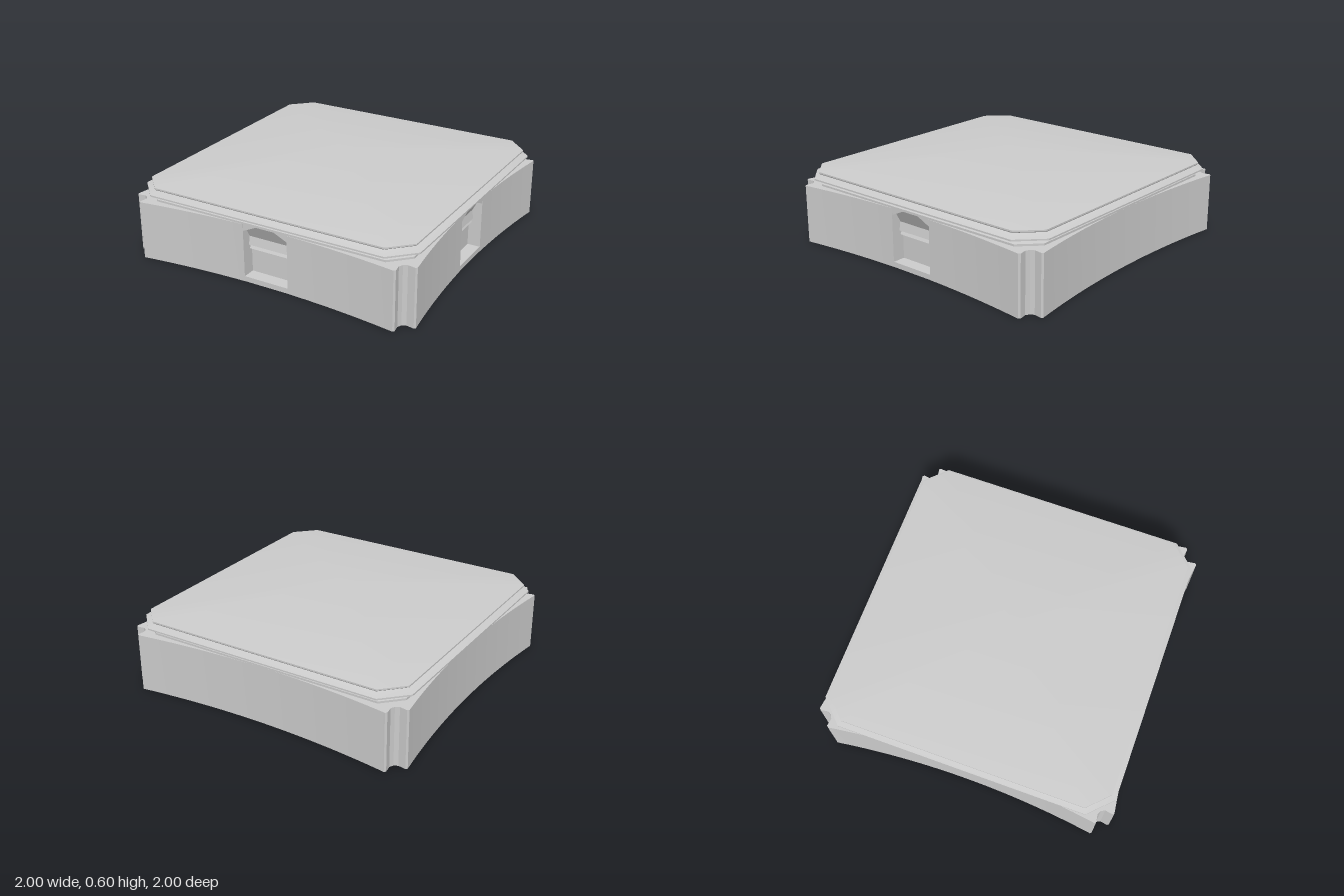
import * as THREE from 'three';
import { toCreasedNormals } from 'three/addons/utils/BufferGeometryUtils.js';

const WALL_TOP = 0.39, NICHE = 0.157, NICHE_BACK = 0.8;
const material = new THREE.MeshStandardMaterial({ color: 0xcccccc });

function part(name, geometry, crease = 0.4) {
  const mesh = new THREE.Mesh(toCreasedNormals(geometry, crease), material);
  mesh.name = name;
  return mesh;
}

const shapeOf = (pts) => new THREE.Shape(pts.map(([x, y]) => new THREE.Vector2(x, y)));
const extrude = (pts, depth) =>
  new THREE.ExtrudeGeometry(shapeOf(pts), { depth, bevelEnabled: false });

// Distance of the gently hollow wall from the centre
const wallAt = (x) => 0.935 + 0.065 * (x / 0.9) ** 2;

// One side of the plan, followed by its grooved corner
function sidePlan(withNiche) {
  const pts = [];
  const run = (a, b, n) => {
    for (let i = 0; i <= n; i++) {
      const x = a + ((b - a) * i) / n;
      pts.push([x, -wallAt(x)]);
    }
  };
  if (withNiche) {
    run(-0.9, -NICHE, 10);
    pts.push([-NICHE, -NICHE_BACK], [NICHE, -NICHE_BACK]);
    run(NICHE, 0.9, 10);
  } else run(-0.9, 0.9, 24);
  pts.push([0.91, -0.99], [0.902, -0.94], [0.915, -0.915], [0.94, -0.902], [0.99, -0.91]);
  return pts;
}

// Closed stack of chamfered squares; each ring is [half width, chamfer, height]
function chamferedStack(rings) {
  const pos = [];
  const loops = rings.map(([r, c, y]) => {
    const a = r - c;
    return [[a, r], [r, a], [r, -a], [a, -r], [-a, -r], [-r, -a], [-r, a], [-a, r]]
      .map(([x, z]) => [x, y, z]);
  });
  const tri = (a, b, c) => pos.push(...a, ...b, ...c);
  for (let k = 0; k < loops.length - 1; k++) {
    for (let i = 0; i < 8; i++) {
      const j = (i + 1) % 8, lo = loops[k], hi = loops[k + 1];
      tri(lo[i], lo[j], hi[j]);
      tri(lo[i], hi[j], hi[i]);
    }
  }
  const bottom = loops[0], top = loops[loops.length - 1];
  for (let i = 0; i < 8; i++) {
    const j = (i + 1) % 8;
    tri([0, bottom[0][1], 0], bottom[j], bottom[i]);
    tri([0, top[0][1], 0], top[i], top[j]);
  }
  const g = new THREE.BufferGeometry();
  g.setAttribute('position', new THREE.Float32BufferAttribute(pos, 3));
  return g;
}

// Sill, stepped back panel and sloping soffit, with two corner pieces for the arch
function createNiche() {
  const niche = new THREE.Group();
  const profile = [
    [NICHE_BACK, 0], [0.936, 0], [0.936, 0.035], [0.85, 0.035], [0.85, 0.2],
    [0.872, 0.2], [0.86, 0.225], [0.88, 0.228], [0.87, 0.285], [0.925, 0.39], [NICHE_BACK, 0.39],
  ];
  const back = extrude(profile, NICHE * 2);
  back.translate(0, 0, -NICHE).rotateY(-Math.PI / 2);
  niche.add(part('nicheBack', back));

  for (const s of [-1, 1]) {
    const pts = [[s * NICHE, 0.345], [s * NICHE, WALL_TOP], [s * 0.06, WALL_TOP]];
    const corner = extrude(pts, 0.935 - NICHE_BACK);
    corner.translate(0, 0, NICHE_BACK);
    niche.add(part('nicheArchCorner', corner));
  }
  return niche;
}

export function createModel() {
  const model = new THREE.Group();
  model.name = 'pavilionBlock';

  // Walls: four hollow sides, with niches in the front and the +x side
  const plan = [];
  for (let k = 0; k < 4; k++) {
    for (let [x, y] of sidePlan(k < 2)) {
      for (let n = 0; n < k; n++) [x, y] = [-y, x];
      plan.push([x, y]);
    }
  }
  const walls = extrude(plan, WALL_TOP);
  walls.rotateX(-Math.PI / 2);
  model.add(part('walls', walls));

  // Niches
  for (const [name, turn] of [['frontNiche', 0], ['sideNiche', Math.PI / 2]]) {
    const niche = createNiche();
    niche.name = name;
    niche.rotation.y = turn;
    model.add(niche);
  }

  // Layered cornice
  model.add(part('cornice', chamferedStack([
    [0.935, 0.12, 0.388], [0.935, 0.12, 0.403], [0.91, 0.12, 0.408], [0.91, 0.12, 0.425],
    [0.94, 0.13, 0.432], [0.98, 0.15, 0.437], [0.98, 0.15, 0.447], [0.94, 0.14, 0.456],
    [0.925, 0.135, 0.462], [0.925, 0.135, 0.472],
  ])));

  // Low hipped roof with a thin eave
  model.add(part('eave', chamferedStack([
    [0.925, 0.135, 0.466], [0.945, 0.135, 0.472], [0.95, 0.135, 0.478], [0.95, 0.135, 0.488],
  ])));
  model.add(part('roof', chamferedStack([
    [0.95, 0.135, 0.488], [0.001, 0.0002, 0.6],
  ]), 0.6));

  return model;
}
